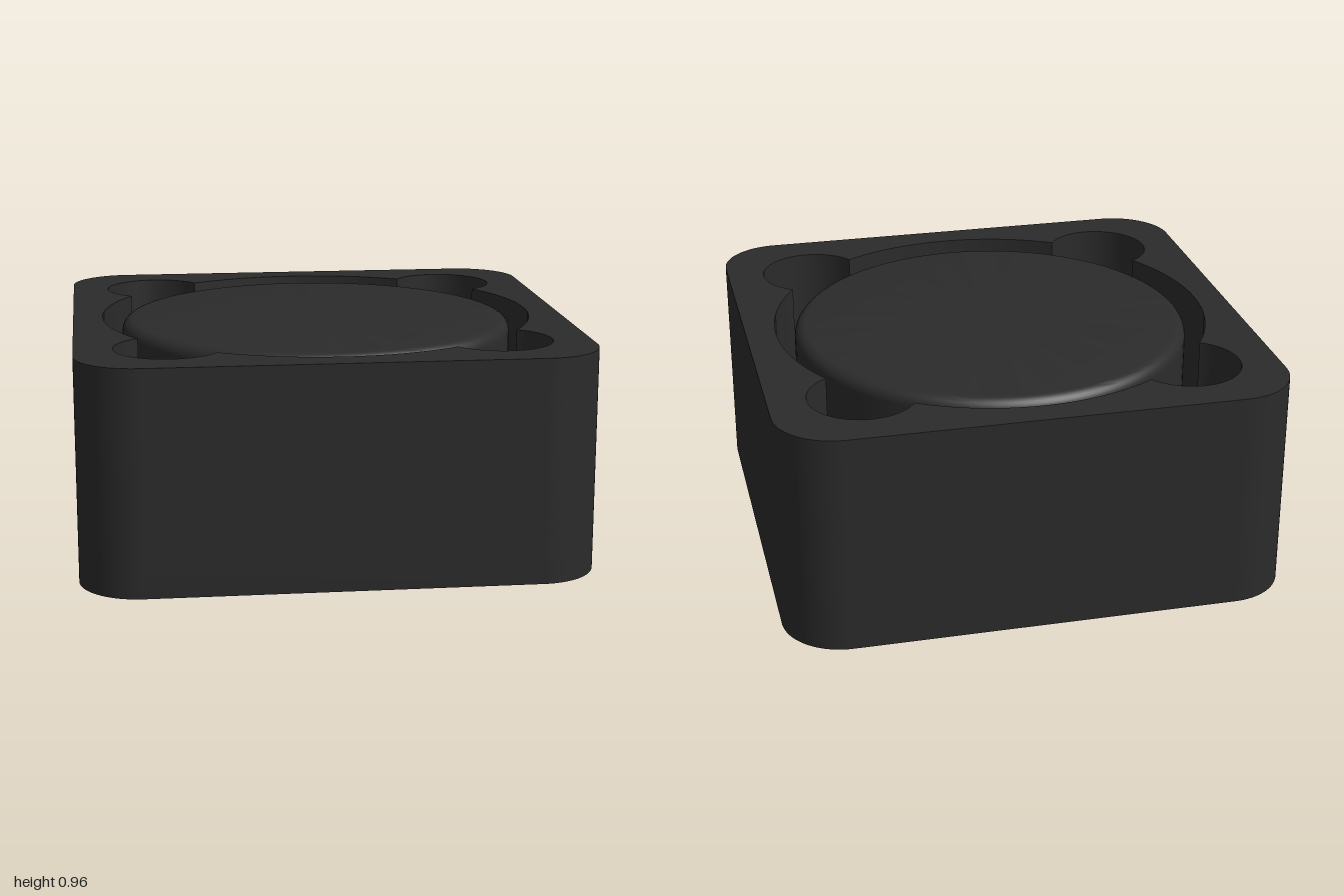
import * as THREE from 'three';
import { toCreasedNormals } from 'three/addons/utils/BufferGeometryUtils.js';

const BASE = 0.08, FLOOR = 0.18, TOP = 0.96;

// Square outline with rounded corners
function roundedSquare(half, r) {
  const shape = new THREE.Shape();
  const c = half - r;
  [[c, c], [-c, c], [-c, -c], [c, -c]].forEach(([x, y], i) => {
    shape.absarc(x, y, r, i * Math.PI / 2, (i + 1) * Math.PI / 2, false);
  });
  shape.closePath();
  return shape;
}

// Round well joined with four smaller round corner pockets
function wellOutline(R, offset, r) {
  const path = new THREE.Path();
  const d = offset * Math.SQRT2;
  const along = (d * d + R * R - r * r) / (2 * d);
  const half = Math.acos(along / R);
  const lobe = Math.atan2(R * Math.sin(half), along - d);
  for (let i = 0; i < 4; i++) {
    const a = Math.PI / 4 + i * Math.PI / 2;
    path.absarc(d * Math.cos(a), d * Math.sin(a), r, a - lobe, a + lobe, false);
    path.absarc(0, 0, R, a + half, a + Math.PI / 2 - half, false);
  }
  path.closePath();
  return path;
}

// Extrude a ground-plane outline upward from y0 to y1
function slab(shape, y0, y1) {
  const g = new THREE.ExtrudeGeometry(shape, { depth: y1 - y0, bevelEnabled: false, curveSegments: 32 });
  g.rotateX(-Math.PI / 2).translate(0, y0, 0);
  return toCreasedNormals(g, 0.5);
}

export function createModel() {
  const group = new THREE.Group();
  const black = new THREE.MeshStandardMaterial({ color: 0x2b2b2b });
  const metal = new THREE.MeshStandardMaterial({ color: 0xb8b5a8 });
  const add = (name, geometry, material) => {
    const mesh = new THREE.Mesh(geometry, material);
    mesh.name = name;
    group.add(mesh);
    return mesh;
  };

  // Housing: solid floor and walls around the well
  add('housingFloor', slab(roundedSquare(1, 0.24), BASE, FLOOR), black);
  const walls = roundedSquare(1, 0.24);
  walls.holes.push(wellOutline(0.88, 0.64, 0.21));
  add('housingWalls', slab(walls, FLOOR, TOP), black);

  // Round core with a softened top rim
  const R = 0.8, f = 0.05, coreTop = 0.95;
  const profile = [new THREE.Vector2(R, FLOOR)];
  for (let i = 0; i <= 8; i++) {
    const a = i / 8 * Math.PI / 2;
    profile.push(new THREE.Vector2(R - f + f * Math.cos(a), coreTop - f + f * Math.sin(a)));
  }
  profile.push(new THREE.Vector2(0, coreTop));
  add('core', toCreasedNormals(new THREE.LatheGeometry(profile, 96), 0.5), black);

  // Terminal pads under the left and right edges
  for (const [name, side] of [['leftTerminal', 1], ['rightTerminal', -1]]) {
    add(name, new THREE.BoxGeometry(0.4, BASE, 0.8), metal).position.set(side * 0.76, BASE / 2, 0);
  }
  return group;
}
